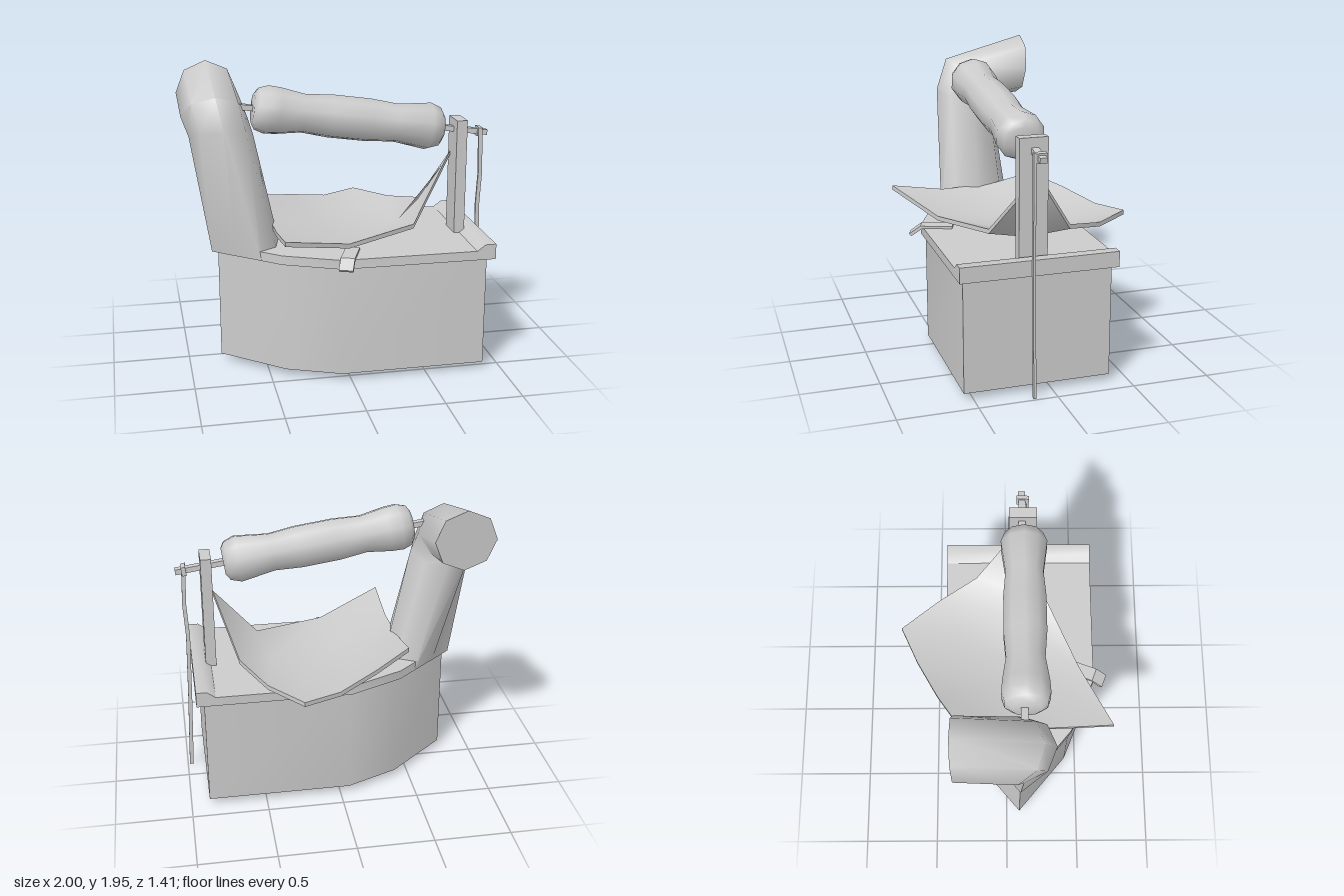
import * as THREE from 'three';
import { toCreasedNormals } from 'three/addons/utils/BufferGeometryUtils.js';

const solid = new THREE.MeshStandardMaterial({ color: 0xcccccc });
const shell = new THREE.MeshStandardMaterial({ color: 0xcccccc, side: THREE.DoubleSide });
const ZC = 0.09; // centre line of the body

function add(parent, name, geometry, x = 0, y = 0, z = 0, material = solid) {
  const mesh = new THREE.Mesh(geometry, material);
  mesh.name = name;
  mesh.position.set(x, y, z);
  parent.add(mesh);
  return mesh;
}

function extrude(points, depth) {
  const shape = new THREE.Shape(points.map(([x, y]) => new THREE.Vector2(x, y)));
  return new THREE.ExtrudeGeometry(shape, { depth, bevelEnabled: false });
}

// Closed outline from one half, mirrored about the tip
function mirrorOutline(half) {
  return [...half, ...half.slice(0, -1).reverse().map(([x, w]) => [x, -w])];
}

// Profile in (z, y), given a width across x
function sideExtrude(points, width) {
  const g = extrude(points, width);
  g.translate(0, 0, -width / 2);
  g.rotateY(-Math.PI / 2);
  return g;
}

// Flat strip of constant width following a path in x and y
function strip(path, width, depth) {
  const left = path.map(([x, y]) => [x - width / 2, y]);
  const right = path.map(([x, y]) => [x + width / 2, y]).reverse();
  const g = extrude([...left, ...right], depth);
  g.translate(0, 0, -depth / 2);
  return g;
}

function indexed(pos, index, crease) {
  const g = new THREE.BufferGeometry();
  g.setAttribute('position', new THREE.Float32BufferAttribute(pos, 3));
  g.setIndex(index);
  return toCreasedNormals(g, crease);
}

// Surface through closed rings of points, optionally capped at the last ring
function loft(rings, capped, crease) {
  const sides = rings[0].length, index = [];
  for (let k = 0; k < rings.length - 1; k++) {
    for (let i = 0; i < sides; i++) {
      const a = k * sides + i, b = k * sides + ((i + 1) % sides);
      index.push(a, a + sides, b, b, a + sides, b + sides);
    }
  }
  const last = (rings.length - 1) * sides;
  for (let i = 1; capped && i < sides - 1; i++) index.push(last, last + i + 1, last + i);
  return indexed(rings.flat(2), index, crease);
}

// Eight-sided ring with a centre, an x radius and an outer axis (y, z)
function ring(c, r, v) {
  return Array.from({ length: 8 }, (_, i) => {
    const a = (i * Math.PI) / 4, s = Math.sin(a);
    return [c[0] + Math.cos(a) * r, c[1] + s * v[0], c[2] + s * v[1]];
  });
}

// Bent plate of even thickness from rows of points
function bentPlate(rows, thickness) {
  const n = rows.length, m = rows[0].length, total = n * m;
  const pos = [], index = [];
  for (const drop of [0, thickness]) {
    for (const row of rows) for (const [x, y, z] of row) pos.push(x, y - drop, z);
  }
  const quad = (a, b, c, d) => index.push(a, b, c, a, c, d);
  for (let j = 0; j < n - 1; j++) {
    for (let i = 0; i < m - 1; i++) {
      const a = j * m + i, b = a + 1, c = b + m, d = a + m;
      quad(a, b, c, d);
      quad(d + total, c + total, b + total, a + total);
    }
  }
  const rim = (a, b) => quad(a, a + total, b + total, b);
  for (let i = 0; i < m - 1; i++) {
    rim(i, i + 1);
    rim((n - 1) * m + i + 1, (n - 1) * m + i);
  }
  for (let j = 0; j < n - 1; j++) {
    rim((j + 1) * m, j * m);
    rim(j * m + m - 1, (j + 1) * m + m - 1);
  }
  return indexed(pos, index, 0.9);
}

export function createModel() {
  const model = new THREE.Group();
  model.name = 'charcoalIron';

  // Body: thin wall, open underneath
  const wall = mirrorOutline([[0.88, 0.47], [-0.06, 0.47], [-0.4, 0.33], [-0.79, 0]]);
  const wallRing = (y) => wall.map(([x, w]) => [x, y, ZC + w]);
  add(model, 'body', loft([wallRing(0.045), wallRing(0.77)], false, 0.8), 0, 0, 0, shell);

  // Overhanging lid
  const lid = extrude(mirrorOutline([[0.93, 0.5], [-0.07, 0.5], [-0.42, 0.345], [-0.83, 0]]), 0.06);
  lid.rotateX(-Math.PI / 2);
  add(model, 'lid', toCreasedNormals(lid, 0.8), 0, 0.77, ZC);

  // Raised lip along the rear of the lid
  const lip = extrude([[0.8, 0.825], [0.93, 0.825], [0.93, 0.87], [0.86, 0.87]], 1.0);
  add(model, 'rearLip', toCreasedNormals(lip, 0.9), 0, 0, ZC - 0.5);

  // Chimney: base follows the lid's tip, elbow turns backwards
  const foot = [
    [-0.395, 0.83, 0], [-0.435, 0.83, 0.17], [-0.54, 0.775, 0.244], [-0.69, 0.77, 0.12], [-0.83, 0.77, 0],
    [-0.69, 0.77, -0.12], [-0.54, 0.775, -0.244], [-0.435, 0.83, -0.17],
  ].map(([x, y, z]) => [x, y, z + ZC]);
  add(model, 'chimney', loft([
    foot,
    ring([-0.75, 1.54, 0.1], 0.203, [0.06, 0.2]),
    ring([-0.79, 1.665, 0.06], 0.207, [0.14, 0.16]),
    ring([-0.8, 1.745, -0.315], 0.2, [0.205, -0.015]),
  ], true, 1.2));

  // Bent heat shield under the handle
  add(model, 'heatShield', bentPlate([
    [[-0.44, 1.01, 0.7], [0, 0.9, 0.49], [0.47, 0.935, 0.28], [0.77, 1.36, 0.06]],
    [[-0.44, 0.955, 0.35], [-0.03, 0.862, 0.17], [0.4, 0.865, 0], [0.63, 0.97, -0.2]],
    [[-0.45, 0.96, 0], [-0.12, 0.87, -0.15], [0.24, 0.86, -0.32], [0.48, 0.915, -0.46]],
    [[-0.46, 1.02, -0.3], [-0.22, 0.965, -0.46], [0.04, 0.905, -0.6], [0.28, 0.915, -0.71]],
  ], 0.03));

  // Rear post carrying the handle rod
  add(model, 'post', new THREE.BoxGeometry(0.07, 0.76, 0.18), 0.805, 1.21, 0.11);

  // Sloping handle: turned grip, rod and nut share one axis
  const handle = new THREE.Group();
  handle.name = 'handle';
  handle.position.set(0.07, 1.622, 0.115);
  handle.rotation.z = -0.143;
  model.add(handle);
  const profile = [
    [0, -0.625], [0.095, -0.625], [0.135, -0.6], [0.155, -0.54], [0.15, -0.46], [0.125, -0.3],
    [0.14, -0.12], [0.14, 0.13], [0.125, 0.31], [0.155, 0.53], [0.13, 0.6], [0.09, 0.625], [0, 0.625],
  ].map(([r, s]) => new THREE.Vector2(r, s));
  const grip = new THREE.LatheGeometry(profile, 10, Math.PI / 10);
  grip.rotateZ(-Math.PI / 2);
  add(handle, 'grip', toCreasedNormals(grip, 0.9));
  add(handle, 'rod', new THREE.BoxGeometry(1.65, 0.035, 0.045), 0.115, 0, -0.01);
  add(handle, 'nut', new THREE.BoxGeometry(0.03, 0.06, 0.07), 0.885, 0, -0.01);

  // Long pin hanging from the end of the rod
  add(model, 'hangingPin', strip(
    [[0.945, 1.525], [0.955, 1.23], [0.943, 1], [0.955, 0.55], [0.975, 0]], 0.026, 0.016), 0, 0, 0.143);

  // Front latch, bent down over the lid edge
  const latch = add(model, 'latch', sideExtrude(
    [[-0.14, 0.825], [0.06, 0.825], [0.13, 0.775], [0.145, 0.79], [0.07, 0.845], [-0.14, 0.845]], 0.09), -0.01, 0, 0.53);
  latch.rotation.y = -0.36;

  return model;
}
